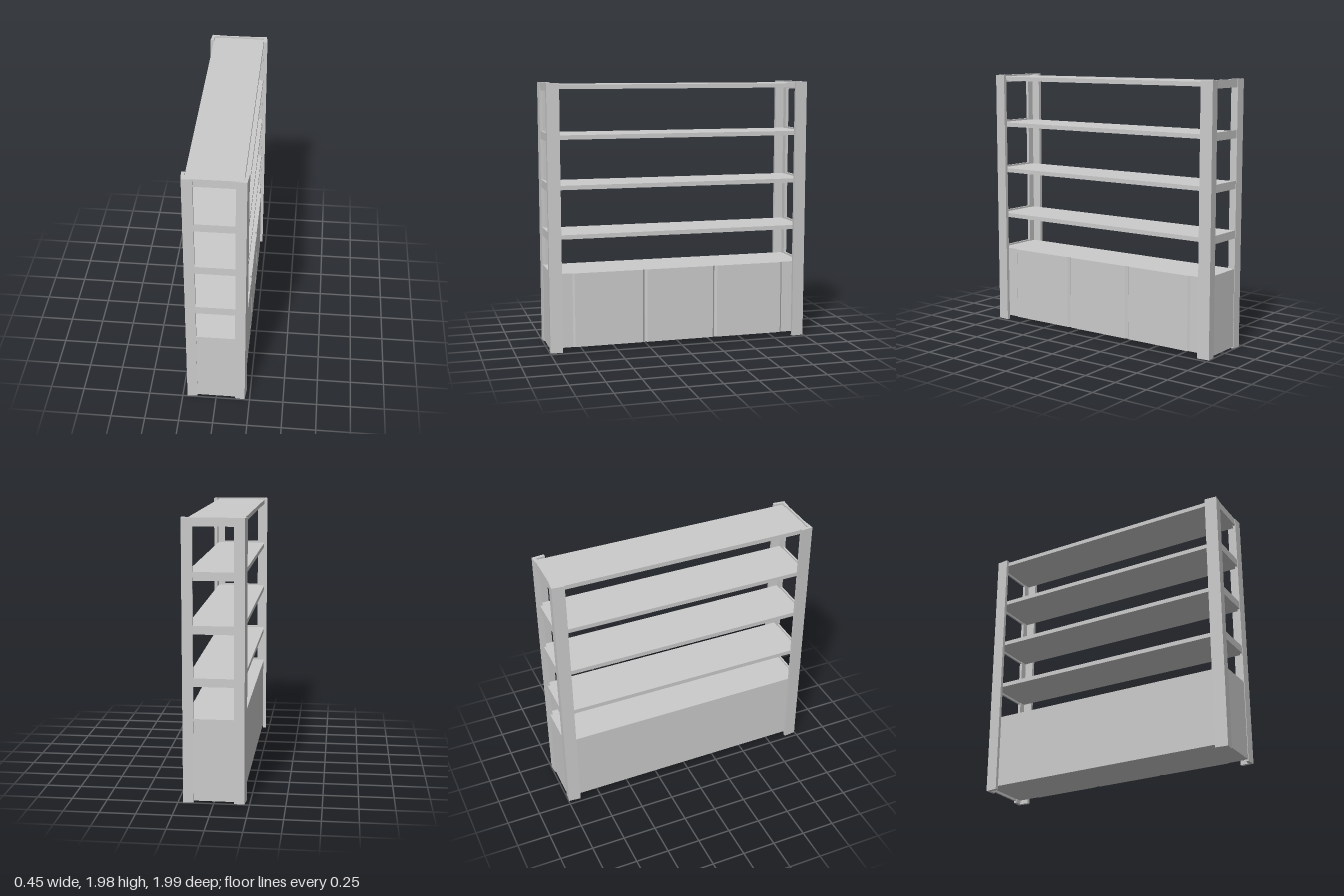
import * as THREE from 'three';

const material = new THREE.MeshStandardMaterial({ color: 0xcccccc });

// Box given by its minimum and maximum on each axis
function box(name, [x0, x1], [y0, y1], [z0, z1]) {
  const mesh = new THREE.Mesh(new THREE.BoxGeometry(x1 - x0, y1 - y0, z1 - z0), material);
  mesh.position.set((x0 + x1) / 2, (y0 + y1) / 2, (z0 + z1) / 2);
  mesh.name = name;
  return mesh;
}

// Plan outline (x, z) extruded upwards from y0 to y1
function prism(name, outline, y0, y1) {
  const shape = new THREE.Shape(outline.map(([x, z]) => new THREE.Vector2(x, -z)));
  const geometry = new THREE.ExtrudeGeometry(shape, { depth: y1 - y0, bevelEnabled: false });
  geometry.rotateX(-Math.PI / 2);
  const mesh = new THREE.Mesh(geometry, material);
  mesh.position.y = y0;
  mesh.name = name;
  return mesh;
}

export function createModel() {
  const model = new THREE.Group();
  model.name = 'shelvingUnit';

  // Four angle-section corner posts with slightly splayed flanges
  const angle = [[0.14, 0.992], [0.214, 0.997], [0.223, 0.905], [0.197, 0.905], [0.193, 0.97], [0.14, 0.97]];
  for (const sx of [-1, 1]) {
    for (const sz of [-1, 1]) {
      const outline = angle.map(([x, z]) => [sx * x, sz * z]);
      model.add(prism((sz > 0 ? 'front' : 'back') + (sx > 0 ? 'Left' : 'Right') + 'Post', outline, 0, 1.975));
    }
  }

  // Four long shelves, each with a cross bar at both ends
  for (const y of [0.857, 1.22, 1.585, 1.947]) {
    const shelf = new THREE.Group();
    shelf.name = 'shelf';
    shelf.add(box('shelfBoard', [-0.197, 0.192], [y - 0.016, y + 0.016], [-0.974, 0.974]));
    for (const s of [-1, 1]) {
      const z = [s * 0.974, s * 0.988].sort((a, b) => a - b);
      shelf.add(box('crossBar', [-0.19, 0.19], [y - 0.03, y + 0.029], z));
    }
    model.add(shelf);
  }

  // Base cabinet with its end panels
  const cabinet = new THREE.Group();
  cabinet.name = 'cabinet';
  cabinet.add(box('cabinetBody', [-0.197, 0.192], [0.03, 0.588], [-0.974, 0.974]));
  for (const s of [-1, 1]) {
    const z = [s * 0.974, s * 0.988].sort((a, b) => a - b);
    cabinet.add(box('endPanel', [-0.19, 0.19], [0.013, 0.6], z));
  }

  // Three doors along the left side, chamfered at their upright edges
  for (const z of [-0.55, 0, 0.55]) {
    const h = 0.274;
    const outline = [[0.19, z - h], [0.19, z + h], [0.206, z + h - 0.016], [0.206, z - h + 0.016]];
    cabinet.add(prism('door', outline, 0.032, 0.588));
  }
  model.add(cabinet);

  return model;
}
